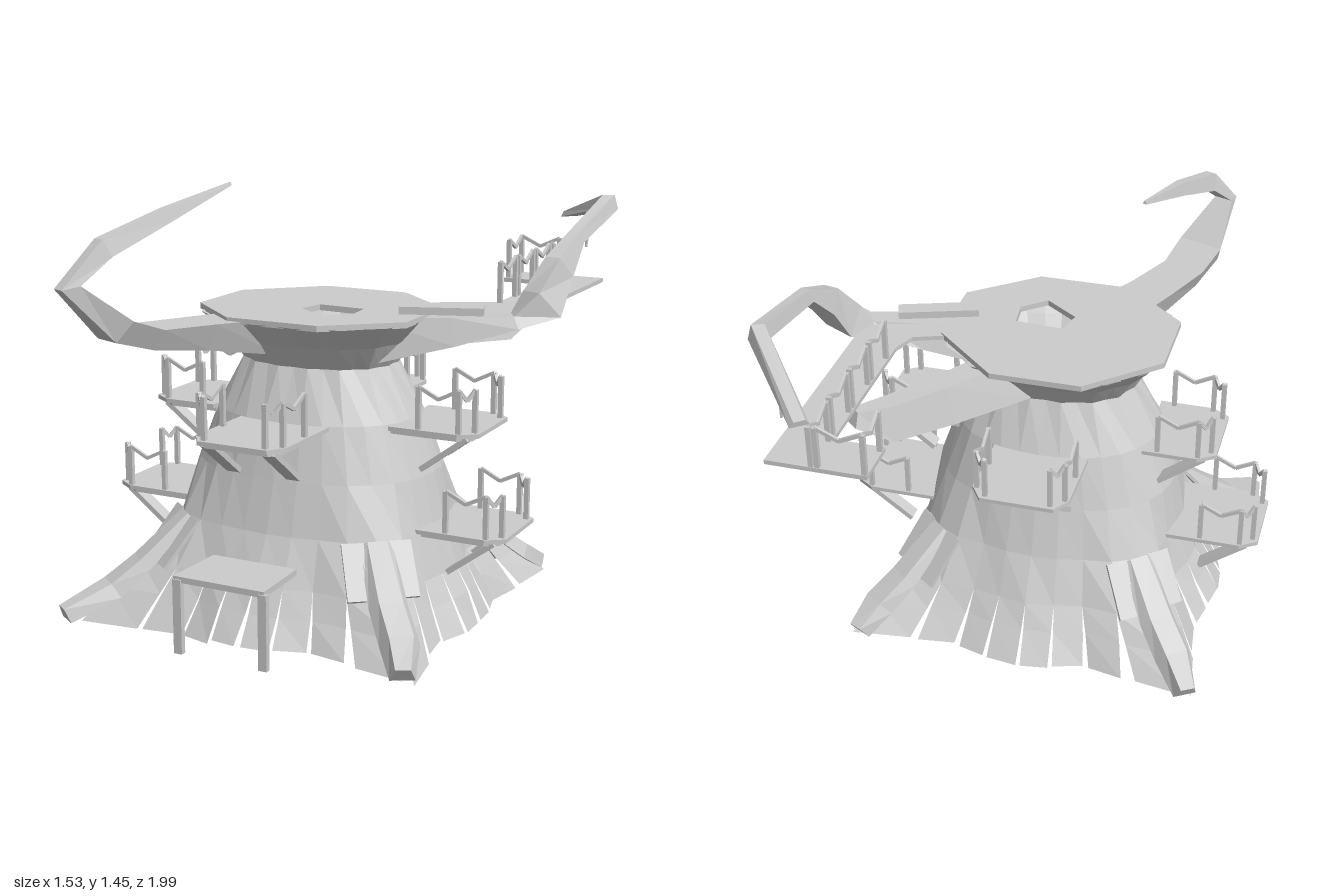
import * as THREE from 'three';

const CX = -0.02, CZ = 0.12;
const mat = new THREE.MeshStandardMaterial({ color: 0xcccccc, flatShading: true, side: THREE.DoubleSide });
const V = (x, y, z) => new THREE.Vector3(x, y, z);

let seed = 7;
const rnd = () => (seed = (seed * 16807) % 2147483647) / 2147483647;

function mesh(geo, name) {
  const m = new THREE.Mesh(geo, mat);
  m.name = name;
  return m;
}

function triGeo(points) {
  const g = new THREE.BufferGeometry().setFromPoints(points);
  g.computeVertexNormals();
  return g;
}

// Straight beam between two points
function bar(a, b, w, h, name) {
  const m = mesh(new THREE.BoxGeometry(w, h, a.distanceTo(b)), name);
  m.position.copy(a).add(b).multiplyScalar(0.5);
  m.lookAt(b);
  return m;
}

// Flat slab from an outline in x,z with its top at height y
function slab(outline, y, depth, name, hole) {
  const toPts = (l) => l.map(([x, z]) => new THREE.Vector2(x, z));
  const shape = new THREE.Shape(toPts(outline));
  if (hole) shape.holes.push(new THREE.Path(toPts(hole)));
  const g = new THREE.ExtrudeGeometry(shape, { depth, bevelEnabled: false });
  g.rotateX(Math.PI / 2).translate(0, y, 0);
  return mesh(g, name);
}

// Tapered four-sided limb; each station is [x, y, z, width, height]
function limb(stations, name, fixedSide) {
  const P = stations.map((s) => V(s[0], s[1], s[2]));
  const rings = P.map((p, i) => {
    const t = P[Math.min(i + 1, P.length - 1)].clone().sub(P[Math.max(i - 1, 0)]).normalize();
    const s = fixedSide ? fixedSide.clone().normalize() : t.clone().cross(V(0, 1, 0)).normalize();
    const u = t.clone().cross(s).normalize();
    const [, , , w, h] = stations[i];
    return [[1, 1], [-1, 1], [-0.6, -1], [0.6, -1]].map(([a, b]) =>
      p.clone().addScaledVector(s, a * w / 2).addScaledVector(u, b * h / 2));
  });
  const tris = [];
  for (let i = 0; i < rings.length - 1; i++) {
    for (let j = 0; j < 4; j++) {
      const k = (j + 1) % 4, A = rings[i], B = rings[i + 1];
      tris.push(A[j], A[k], B[k], A[j], B[k], B[j]);
    }
  }
  const f = rings[0], e = rings[rings.length - 1];
  tris.push(f[0], f[2], f[1], f[0], f[3], f[2], e[0], e[1], e[2], e[0], e[2], e[3]);
  return mesh(triGeo(tris), name);
}

// Trunk levels: height, half width in x, half depth in z, root bulge, bulge sharpness
const LEVELS = [
  [0.03, 0.6, 0.58, 0.42, 12], [0.12, 0.55, 0.515, 0.38, 12], [0.2, 0.505, 0.465, 0.3, 10],
  [0.35, 0.46, 0.39, 0.12, 5], [0.52, 0.425, 0.335, 0.04, 2], [0.7, 0.36, 0.28, 0.04, 2],
  [0.87, 0.27, 0.2, 0.03, 2], [0.95, 0.315, 0.26, 0.05, 2], [1.03, 0.385, 0.34, 0.07, 2],
];
function trunkPoint(a, l, push = 0) {
  const [y, ax, az, k, p] = LEVELS[l];
  const r = 1 + k * Math.abs(Math.sin(2 * a)) ** p + push;
  return V(CX + ax * r * Math.cos(a), y, CZ + az * r * Math.sin(a));
}

function buildTrunk() {
  const N = 32, step = Math.PI * 2 / N, tris = [];
  // body seams are slightly uneven, the flare under the deck is pleated
  const seams = LEVELS.map((_, l) => Array.from({ length: N }, (_, i) =>
    l > 5 ? (i % 2 - 0.5) * 0.04 : (rnd() - 0.5) * 0.02));
  for (let i = 0; i < N; i++) {
    const a = (i + 0.5) * step, j = (i + 1) % N, foot = 0.025 * (rnd() - 0.7), gap = 0.06 + 0.2 * rnd();
    for (let l = 0; l < LEVELS.length - 1; l++) {
      // planks part from each other towards the ground
      const half = (n) => step / 2 * (n === 0 ? 1 - gap : n === 1 ? 1 - gap * 0.5 : 1);
      const A = trunkPoint(a - half(l), l, seams[l][i]), B = trunkPoint(a + half(l), l, seams[l][j]);
      const C = trunkPoint(a + half(l + 1), l + 1, seams[l + 1][j]), D = trunkPoint(a - half(l + 1), l + 1, seams[l + 1][i]);
      if (l === 0) { A.y += foot; B.y += foot; }
      tris.push(A, D, C, A, C, B);
    }
  }
  return mesh(triGeo(tris), 'trunk');
}

// Posts joined by a sagging handrail
function railing(points, y, name) {
  const g = new THREE.Group(), H = 0.14;
  g.name = name;
  points.forEach(([x, z], i) => {
    g.add(bar(V(x, y, z), V(x, y + H, z), 0.016, 0.016, 'railPost'));
    if (i === 0) return;
    const [px, pz] = points[i - 1];
    const mid = V((x + px) / 2, y + H - 0.035, (z + pz) / 2);
    g.add(bar(V(px, y + H, pz), mid, 0.01, 0.012, 'handrail'), bar(mid, V(x, y + H, z), 0.01, 0.012, 'handrail'));
  });
  return g;
}

// Balcony reaching outward along local +z
function balcony(y, inner, outer, angle) {
  const g = new THREE.Group(), w = 0.165;
  g.name = 'balcony';
  g.add(slab([[-w, inner], [w, inner], [w, outer - 0.06], [w - 0.04, outer], [0.04 - w, outer], [-w, outer - 0.06]], y, 0.014, 'balconyFloor'));
  g.add(slab([[-w + 0.02, inner], [w - 0.02, inner], [w - 0.02, outer - 0.07], [w - 0.05, outer - 0.025], [0.05 - w, outer - 0.025], [-w + 0.02, outer - 0.07]], y - 0.014, 0.014, 'balconyUnderside'));
  for (const s of [-1, 1]) {
    g.add(railing([[s * 0.15, outer - 0.2], [s * 0.15, outer - 0.06], [s * 0.11, outer - 0.02]], y, 'balconyRailing'));
    g.add(bar(V(s * 0.11, y - 0.02, outer - 0.04), V(s * 0.11, y - 0.14, outer - 0.2), 0.05, 0.018, 'balconyBracket'));
  }
  g.position.set(CX, 0, CZ);
  g.rotation.y = angle;
  return g;
}

export function createModel() {
  const model = new THREE.Group();
  model.name = 'treeTower';
  model.add(buildTrunk());

  // Top deck with a five-sided hatch
  model.add(slab(
    [[-0.18, -0.235], [0.13, -0.235], [0.365, -0.02], [0.365, 0.27], [0.14, 0.455], [-0.19, 0.455], [-0.41, 0.26], [-0.41, -0.02]],
    1.045, 0.02, 'deck',
    [[-0.03, 0.11], [-0.05, 0.2], [0.07, 0.29], [0.15, 0.22], [0.14, 0.12]]));

  // Four corner roots, each with a bark slab on either flank
  [[0.57, 0.72], [-0.65, 0.765], [-0.62, -0.485], [0.56, -0.47]].forEach(([tx, tz], q) => {
    const a = Math.PI / 4 + q * Math.PI / 2;
    for (const d of [-0.14, 0.14]) {
      model.add(bar(trunkPoint(a + d, 2, 0.01), trunkPoint(a + d * 1.2, 3, 0.01), 0.05 + 0.03 * rnd(), 0.012, 'barkSlab'));
    }
    const top = trunkPoint(a, 3, -0.02), mid = trunkPoint(a, 2), low = trunkPoint(a, 1);
    model.add(limb([
      [top.x, top.y, top.z, 0.11, 0.02], [mid.x, mid.y, mid.z, 0.13, 0.04],
      [low.x, low.y, low.z, 0.13, 0.05], [tx, 0.055, tz, 0.08, 0.05],
    ], 'root'));
  });

  // Balconies: two on each side, one at front and back
  const R = Math.PI / 2;
  model.add(balcony(0.7, 0.25, 0.6, 0), balcony(0.7, 0.25, 0.57, Math.PI));
  model.add(balcony(0.7, 0.33, 0.63, R), balcony(0.7, 0.33, 0.58, -R));
  model.add(balcony(0.365, 0.42, 0.73, R), balcony(0.365, 0.42, 0.745, -R));

  // Entrance porch
  model.add(slab([[-0.19, 0.56], [0.12, 0.56], [0.13, 0.79], [-0.2, 0.79]], 0.27, 0.02, 'porchRoof'));
  for (const x of [-0.185, 0.125]) model.add(bar(V(x, 0.01, 0.785), V(x, 0.26, 0.785), 0.03, 0.02, 'porchPost'));

  // Curling branch at front right
  model.add(limb([
    [-0.14, 0.965, 0.27, 0.2, 0.13], [-0.26, 0.99, 0.5, 0.17, 0.09], [-0.34, 1.005, 0.68, 0.16, 0.07], [-0.385, 1.05, 0.81, 0.17, 0.08],
    [-0.44, 1.2, 0.965, 0.07, 0.06], [-0.385, 1.31, 0.85, 0.07, 0.06], [-0.32, 1.385, 0.6, 0.05, 0.045], [-0.26, 1.458, 0.3, 0.015, 0.01],
  ], 'curledBranch', V(0.93, 0, 0.36)));

  // Arched branch on the left, hanging over the walkway
  model.add(limb([
    [0.18, 0.955, 0.14, 0.16, 0.15], [0.45, 0.995, 0.07, 0.14, 0.09], [0.63, 1.03, 0.01, 0.12, 0.04], [0.69, 1.08, -0.06, 0.13, 0.11],
    [0.715, 1.19, -0.15, 0.09, 0.09], [0.73, 1.275, -0.28, 0.06, 0.04], [0.72, 1.35, -0.66, 0.07, 0.05], [0.465, 1.26, -0.975, 0.06, 0.02],
  ], 'archedBranch'));
  model.add(bar(V(0.28, 1.06, 0.14), V(0.54, 1.06, 0.05), 0.06, 0.025, 'branchRidge'));
  for (const [x, z] of [[0.61, -0.76], [0.59, -0.83]]) model.add(bar(V(x, 1.31, z), V(x, 1.17, z), 0.007, 0.007, 'hangingRope'));

  // Branch carrying the walkway
  model.add(limb([
    [0.1, 0.95, -0.04, 0.18, 0.14], [0.28, 0.945, -0.27, 0.14, 0.13], [0.42, 0.94, -0.42, 0.12, 0.12], [0.5, 0.985, -0.51, 0.07, 0.05],
  ], 'supportBranch'));

  // Walkway with an L-shaped landing
  model.add(slab([
    [0.31, -0.88], [0.64, -0.88], [0.64, -0.02], [0.6, 0.03], [0.34, 0.05], [0.34, -0.03], [0.45, -0.07], [0.48, -0.15], [0.48, -0.72], [0.31, -0.72],
  ], 1.04, 0.015, 'walkway'));
  for (let i = 0; i < 4; i++) {
    const z = -0.22 - i * 0.17;
    model.add(railing([[0.49, z], [0.49, z - 0.14]], 1.04, 'walkwayRailing'));
  }
  model.add(railing([[0.32, -0.74], [0.32, -0.87], [0.47, -0.87]], 1.04, 'landingRailing'));
  return model;
}
